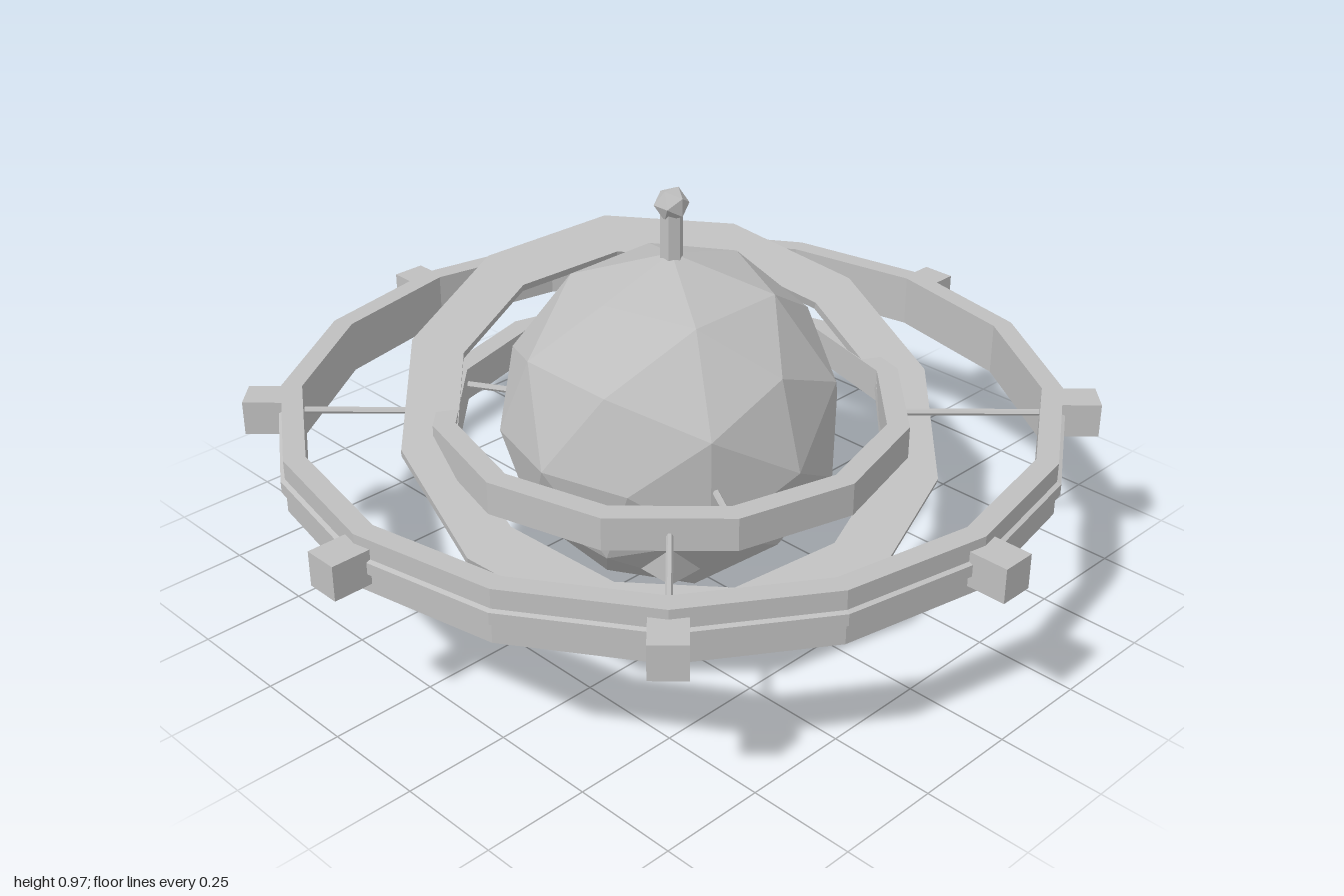
import * as THREE from 'three';

export function createModel() {
  const model = new THREE.Group();
  model.name = 'ringedStation';
  const grey = new THREE.MeshStandardMaterial({ color: 0xbfbfbf, flatShading: true });
  grey.name = 'station grey';
  const CY = 0.414; // height of the station's equator

  function add(name, geometry, x = 0, y = CY, z = 0) {
    const mesh = new THREE.Mesh(geometry, grey);
    mesh.name = name;
    mesh.position.set(x, y, z);
    model.add(mesh);
    return mesh;
  }

  // Closed ring from a counterclockwise (radius, height) profile
  function ring(name, profile, sides) {
    const points = [...profile, profile[0]].map(([r, y]) => new THREE.Vector2(r, y));
    return add(name, new THREE.LatheGeometry(points, sides));
  }
  const band = (inner, outer, h) => [[inner, -h], [outer, -h], [outer, h], [inner, h]];

  // Horizontal rod between two radii at a given angle
  function rod(name, angle, r0, r1, thickness) {
    const geometry = new THREE.CylinderGeometry(thickness, thickness, r1 - r0, 6);
    geometry.rotateZ(Math.PI / 2).translate((r0 + r1) / 2, 0, 0);
    add(name, geometry).rotation.y = angle;
  }

  // Central faceted core
  add('core', new THREE.IcosahedronGeometry(0.407, 1));

  // Mast with faceted beacon
  add('mast', new THREE.CylinderGeometry(0.027, 0.027, 0.14, 6), 0, 0.85);
  add('beacon', new THREE.IcosahedronGeometry(0.041, 0), 0, 0.94);

  // Outer ring with a thin raised rib around its middle
  ring('outerRing', [
    [0.865, -0.064], [0.915, -0.064], [0.915, -0.018], [0.925, -0.014],
    [0.925, 0.014], [0.915, 0.018], [0.915, 0.064], [0.865, 0.064],
  ], 16);

  // Inner hoop
  ring('innerHoop', band(0.51, 0.563, 0.04), 12);

  // Wide flat ring, tilted up towards the back left
  const disc = ring('tiltedRing', band(0.513, 0.641, 0.011), 12);
  disc.rotation.set(0.35, 0, 0.21, 'ZYX');

  // Docking blocks around the outer ring
  for (let i = 0; i < 8; i++) {
    const geometry = new THREE.BoxGeometry(0.1, 0.083, 0.083).translate(0.95, 0, 0);
    add('dockingBlock', geometry).rotation.y = (i * Math.PI) / 4;
  }

  // Spokes: four to the outer ring, three between core and hoop
  for (let i = 0; i < 4; i++) rod('outerSpoke', Math.PI / 4 + (i * Math.PI) / 2, 0.55, 0.87, 0.008);
  for (let i = 0; i < 3; i++) rod('innerSpoke', (i * Math.PI * 2) / 3, 0.36, 0.52, 0.008);

  // Thruster housings whose corners poke out of the lower core
  for (const sx of [-1, 1]) {
    for (const sz of [-1, 1]) {
      add('thruster', new THREE.BoxGeometry(0.1, 0.1, 0.1), sx * 0.2, 0.21, sz * 0.2);
    }
  }

  return model;
}
